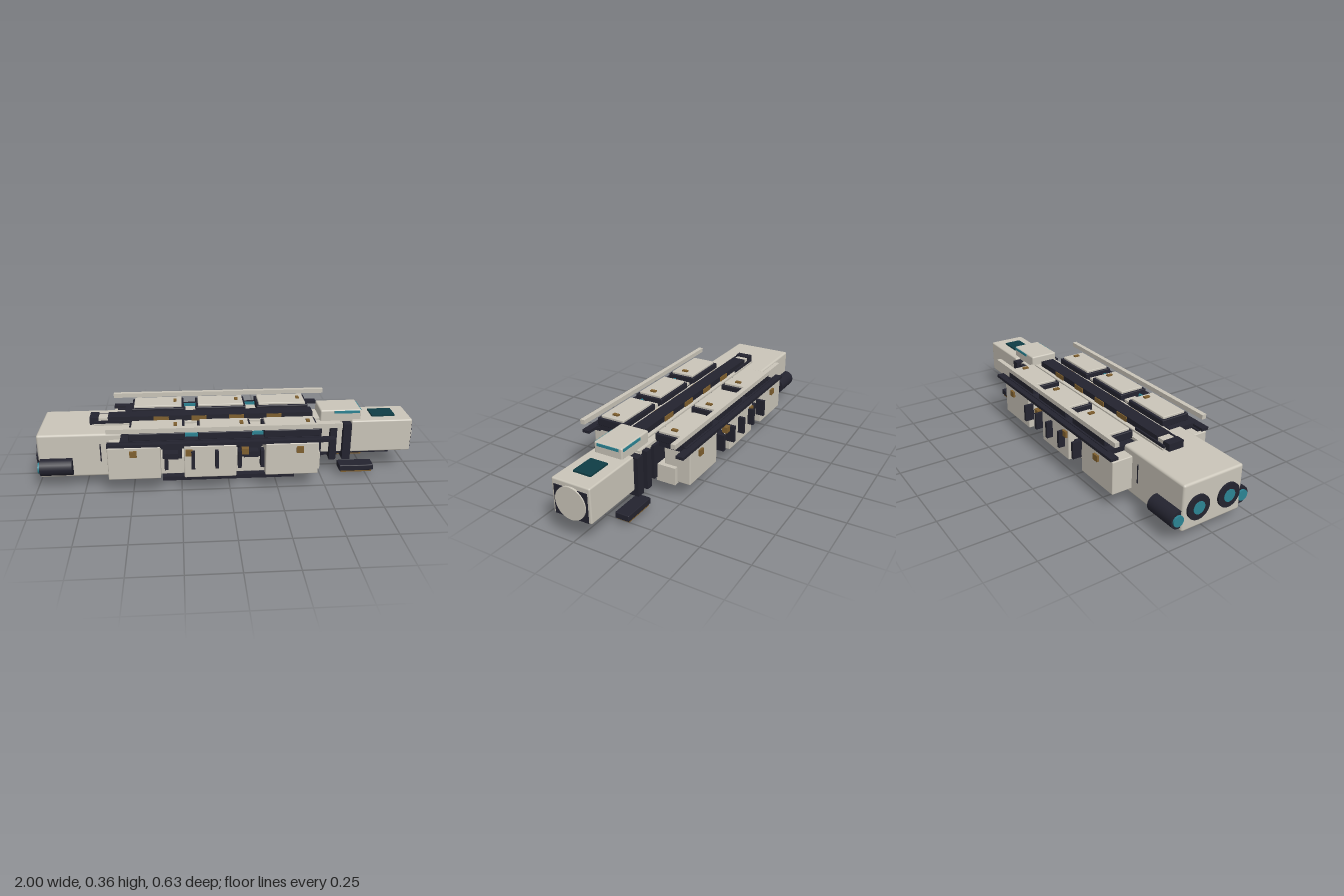
import * as THREE from 'three';
import { RoundedBoxGeometry } from 'three/addons/geometries/RoundedBoxGeometry.js';

const mat = (name, color) => {
  const m = new THREE.MeshStandardMaterial({ color });
  m.name = name;
  return m;
};

export function createModel() {
  const hull = mat('hull beige', 0xcac5b9);
  const dark = mat('dark metal', 0x23232f);
  const bronze = mat('bronze', 0x80602f);
  const teal = mat('deep teal', 0x0f3d45);
  const glow = mat('bright teal', 0x2c8494);
  const root = new THREE.Group();
  root.name = 'freighter';

  const add = (name, geo, m, x, y, z) => {
    const mesh = new THREE.Mesh(geo, m);
    mesh.name = name;
    mesh.position.set(x, y, z);
    root.add(mesh);
    return mesh;
  };
  // Box given by its limits; a radius rounds the edges
  const box = (name, m, [x0, x1], [y0, y1], [z0, z1], r = 0) => {
    const s = [x1 - x0, y1 - y0, z1 - z0];
    const geo = r ? new RoundedBoxGeometry(...s, 2, r) : new THREE.BoxGeometry(...s);
    return add(name, geo, m, (x0 + x1) / 2, (y0 + y1) / 2, (z0 + z1) / 2);
  };
  // Same box on both sides of the centre line
  const pair = (name, m, xs, ys, [z0, z1], r = 0) => {
    box(name + 'Front', m, xs, ys, [z0, z1], r);
    box(name + 'Back', m, xs, ys, [-z1, -z0], r);
  };
  // Cylinder along x
  const drum = (name, m, x0, x1, r, y, z, n = 32) => {
    const geo = new THREE.CylinderGeometry(r, r, x1 - x0, n).rotateZ(-Math.PI / 2);
    return add(name, geo, m, (x0 + x1) / 2, y, z);
  };

  // Engine block and its nozzles
  box('engineBlock', hull, [-0.985, -0.55], [0.057, 0.295], [-0.17, 0.17], 0.012);
  pair('engineSeam', dark, [-0.667, -0.661], [0.14, 0.24], [0.168, 0.172]);
  for (const s of [1, -1]) {
    drum('engineNozzle', dark, -0.997, -0.97, 0.062, 0.165, s * 0.088);
    drum('engineGlow', glow, -1.0, -0.99, 0.032, 0.165, s * 0.088);
    drum('sideThruster', dark, -0.975, -0.81, 0.045, 0.122, s * 0.18, 20);
    drum('thrusterGlow', glow, -0.985, -0.97, 0.028, 0.122, s * 0.187, 20);
  }

  // Spine, deck and the long top beam
  box('spine', dark, [-0.56, 0.5], [0.1, 0.28], [-0.11, 0.11]);
  box('keel', dark, [-0.5, 0.6], [0.086, 0.11], [-0.06, 0.06]);
  box('spineDeck', hull, [-0.58, 0.6], [0.275, 0.295], [-0.095, 0.095]);
  box('deckPlate', hull, [-0.7, 0.5], [0.29, 0.304], [-0.06, 0.06]);
  box('topBeam', dark, [-0.63, 0.46], [0.3, 0.333], [-0.038, 0.038]);
  box('beamEnd', dark, [-0.725, -0.68], [0.295, 0.333], [-0.042, 0.042]);
  box('beamEndBlock', hull, [-0.68, -0.63], [0.3, 0.325], [-0.032, 0.032]);
  pair('beamEdge', dark, [-0.7, -0.48], [0.3, 0.318], [0.046, 0.055]);
  for (let i = 0; i < 4; i++) {
    const x = -0.35 + i * 0.2;
    pair('beamClip', bronze, [x - 0.04, x + 0.04], [0.304, 0.33], [0.037, 0.043]);
  }

  // Cargo cores, containers and their lids
  pair('cargoCore', hull, [-0.6, 0.475], [0.08, 0.172], [0.105, 0.21]);
  for (const [a, b] of [[-0.62, -0.355], [-0.235, 0.03], [0.18, 0.452]]) {
    pair('container', hull, [a, b], [0.087, 0.262], [0.137, 0.28], 0.005);
    pair('bellyPlate', dark, [a + 0.03, b - 0.03], [0.072, 0.082], [0.135, 0.205]);
  }
  for (const [a, b] of [[-0.5, -0.24], [-0.15, 0.1], [0.185, 0.445]]) {
    pair('lidBase', dark, [a - 0.012, b + 0.012], [0.285, 0.325], [0.09, 0.252], 0.004);
    pair('lid', hull, [a, b], [0.32, 0.337], [0.103, 0.237], 0.004);
    pair('lidLatch', bronze, [b - 0.045, b - 0.027], [0.335, 0.345], [0.155, 0.187]);
  }
  pair('upperDeck', dark, [-0.555, 0.455], [0.26, 0.287], [0.11, 0.262]);
  for (const x of [-0.195, 0.14]) {
    pair('gapBlock', hull, [x - 0.025, x + 0.03], [0.28, 0.3], [0.11, 0.18]);
    pair('gapLight', glow, [x - 0.035, x + 0.035], [0.28, 0.305], [0.205, 0.215]);
  }
  // Machinery showing in the gaps between containers
  for (const [a, b] of [[-0.345, -0.245], [0.05, 0.165]]) {
    pair('gapMachine', dark, [a, b], [0.165, 0.262], [0.11, 0.215]);
    pair('gapPipe', dark, [a + 0.02, b - 0.02], [0.185, 0.215], [0.215, 0.265]);
  }
  for (const x of [-0.49, -0.21, 0.075, 0.355])
    pair('containerClip', bronze, [x - 0.018, x + 0.018], [0.213, 0.245], [0.262, 0.292]);
  for (const x of [-0.325, -0.19, -0.07, 0.045, 0.16])
    pair('sideFin', dark, [x - 0.009, x + 0.009], [0.15, 0.24], [0.265, 0.314]);

  // Side rails
  pair('lowerRail', dark, [-0.62, 0.535], [0.268, 0.283], [0.25, 0.291]);
  pair('lowerRailFoot', dark, [-0.6, 0.46], [0.254, 0.27], [0.24, 0.268]);
  pair('upperRail', hull, [-0.62, 0.57], [0.335, 0.359], [0.245, 0.27]);

  // Neck with dark collars
  box('neck', hull, [0.45, 0.7], [0.12, 0.285], [-0.09, 0.09]);
  for (const [a, b] of [[0.545, 0.58], [0.615, 0.658]])
    box('collar', dark, [a, b], [0.087, 0.29], [-0.122, 0.122]);
  box('neckFloor', dark, [0.48, 0.885], [0.097, 0.127], [-0.065, 0.065]);

  // Bridge
  box('bridge', hull, [0.495, 0.715], [0.285, 0.355], [-0.078, 0.078], 0.008);
  pair('bridgeWindow', glow, [0.57, 0.705], [0.336, 0.35], [0.074, 0.081]);
  box('bridgeFrontWindow', glow, [0.71, 0.718], [0.336, 0.35], [-0.06, 0.06]);

  // Nose with docking port
  box('nose', hull, [0.66, 0.99], [0.12, 0.3], [-0.104, 0.104], 0.008);
  box('noseHatch', teal, [0.782, 0.908], [0.297, 0.309], [-0.048, 0.048]);
  box('portPlate', dark, [0.98, 0.994], [0.125, 0.273], [-0.09, 0.09]);
  drum('portDisc', hull, 0.98, 1.0, 0.082, 0.201, 0, 48);

  // Landing gear
  pair('gearPod', dark, [0.6, 0.785], [0.029, 0.061], [0.074, 0.15], 0.004);
  pair('gearSole', bronze, [0.61, 0.775], [0.021, 0.03], [0.079, 0.146]);
  pair('landingSkid', dark, [-0.35, 0.355], [0, 0.023], [0.101, 0.139]);
  return root;
}
